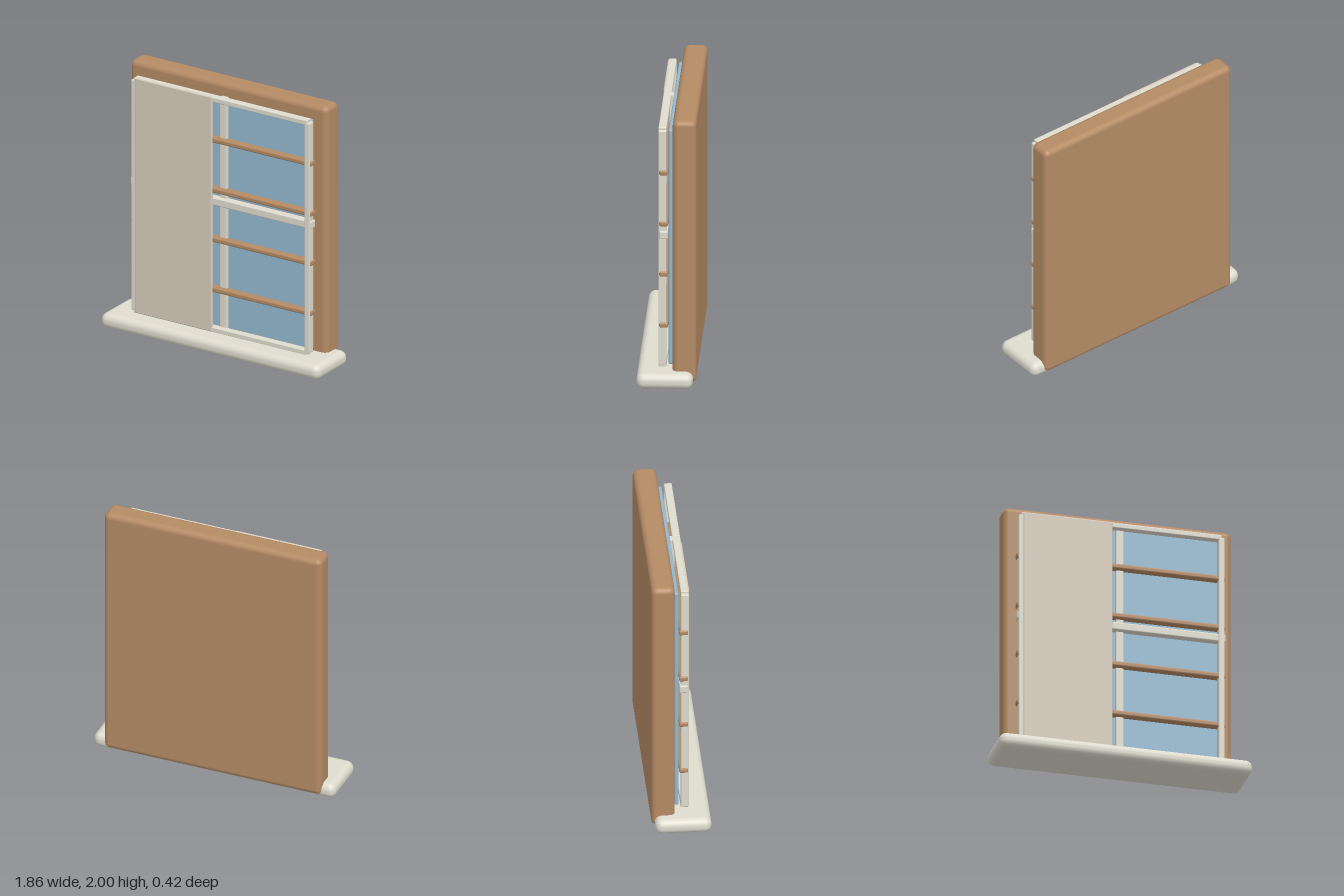
import * as THREE from 'three';
import { RoundedBoxGeometry } from 'three/addons/geometries/RoundedBoxGeometry.js';

const paint = (color) => new THREE.MeshStandardMaterial({ color });

export function createModel() {
  const model = new THREE.Group();
  model.name = 'window';
  const wood = paint(0xb48a64);
  const cream = paint(0xdedbce);
  const glass = paint(0x94b8d0);
  const linen = paint(0xd5cbbb);

  // Rounded box given by its extents along each axis
  function block(name, material, [x0, x1], [y0, y1], [z0, z1], radius, parent = model) {
    const geometry = new RoundedBoxGeometry(x1 - x0, y1 - y0, z1 - z0, 4, radius);
    const mesh = new THREE.Mesh(geometry, material);
    mesh.name = name;
    mesh.position.set((x0 + x1) / 2, (y0 + y1) / 2, (z0 + z1) / 2);
    parent.add(mesh);
    return mesh;
  }

  // Backing slab, sill and pane
  block('backBoard', wood, [-0.84, 0.84], [0.025, 2], [-0.212, -0.043], 0.042);
  block('sill', cream, [-0.932, 0.932], [0, 0.115], [-0.19, 0.212], 0.052);
  block('pane', glass, [-0.735, 0.735], [0.13, 1.9], [-0.04, -0.01], 0.012);

  // Sash frame: stiles, rails and centre mullion
  const frame = new THREE.Group();
  frame.name = 'sashFrame';
  model.add(frame);
  for (const side of [-1, 1]) {
    const x = side * 0.738;
    block(side > 0 ? 'leftStile' : 'rightStile', cream,
      [x - 0.022, x + 0.022], [0.13, 1.9], [0.005, 0.062], 0.008, frame);
  }
  block('topRail', cream, [-0.738, 0.738], [1.88, 1.92], [0.005, 0.062], 0.008, frame);
  block('bottomRail', cream, [-0.738, 0.738], [0.11, 0.15], [0.005, 0.062], 0.008, frame);
  block('mullion', cream, [-0.032, 0.026], [0.11, 1.918], [-0.015, 0.02], 0.008, frame);
  block('meetingRail', cream, [-0.77, 0.77], [1.085, 1.145], [-0.006, 0.055], 0.01, frame);

  // Horizontal wooden bars
  for (const y of [0.435, 0.82, 1.2, 1.585]) {
    block('bar', wood, [-0.77, 0.77], [y - 0.019, y + 0.019], [-0.008, 0.055], 0.012, frame);
  }

  // Shutter panel over one half
  block('shutterPanel', linen, [-0.725, -0.07], [0.115, 1.92], [0.04, 0.067], 0.008);

  return model;
}
